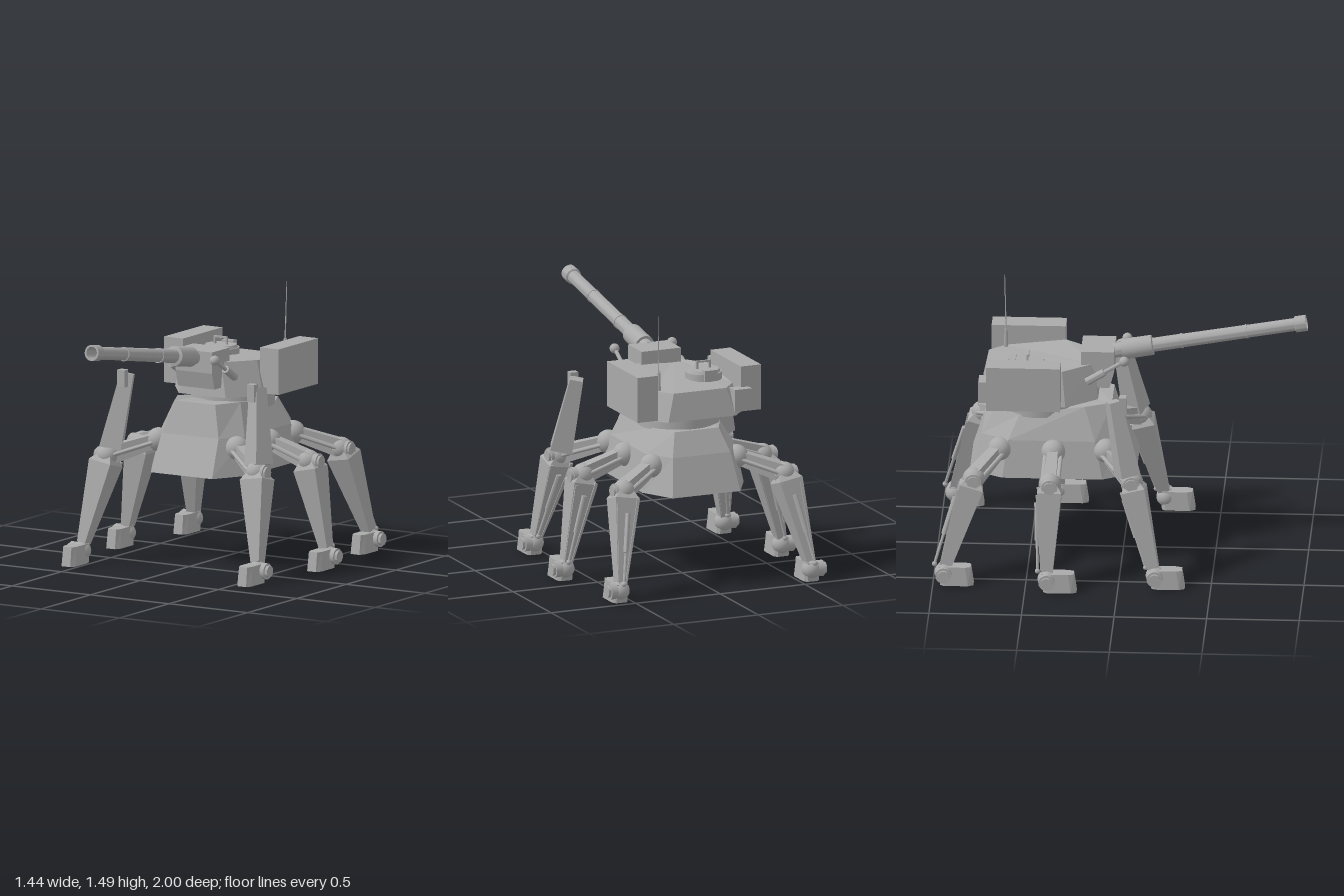
import * as THREE from 'three';
import { toCreasedNormals } from 'three/addons/utils/BufferGeometryUtils.js';

const V = (x, y, z) => new THREE.Vector3(x, y, z);
const UP = V(0, 1, 0);

// Flat-faced solid from stacked rings (counter-clockwise seen from above)
function loft(rings) {
  const pos = [];
  const tri = (...pts) => pts.forEach(p => pos.push(p.x, p.y, p.z));
  const n = rings[0].length;
  for (let i = 0; i < rings.length - 1; i++) {
    for (let j = 0; j < n; j++) {
      const k = (j + 1) % n, a = rings[i], b = rings[i + 1];
      tri(a[j], a[k], b[k]);
      tri(a[j], b[k], b[j]);
    }
  }
  const low = rings[0], top = rings[rings.length - 1];
  for (let j = 1; j < n - 1; j++) {
    tri(low[0], low[j + 1], low[j]);
    tri(top[0], top[j], top[j + 1]);
  }
  const g = new THREE.BufferGeometry();
  g.setAttribute('position', new THREE.Float32BufferAttribute(pos, 3));
  g.computeVertexNormals();
  return g;
}

// Chamfered plan outline; front and rear may have different heights
function octagon(w, hf, zf, zfc, hr, zr, zrc, yf, yr = yf) {
  return [V(-hf, yf, zf), V(hf, yf, zf), V(w, yf, zfc), V(w, yr, zrc),
    V(hr, yr, zr), V(-hr, yr, zr), V(-w, yr, zrc), V(-w, yf, zfc)];
}

const rect = (w, d, y, x = 0, z = 0) => [V(x - w / 2, y, z + d / 2), V(x + w / 2, y, z + d / 2),
  V(x + w / 2, y, z - d / 2), V(x - w / 2, y, z - d / 2)];

export function createModel() {
  const model = new THREE.Group();
  model.name = 'walkerTank';
  const metal = new THREE.MeshStandardMaterial({ color: 0xaaaaaa });
  metal.name = 'grey metal';

  const add = (parent, name, geo, p = V(0, 0, 0)) => {
    const m = new THREE.Mesh(geo, metal);
    m.name = name;
    m.position.copy(p);
    parent.add(m);
    return m;
  };
  const box = (parent, name, w, h, d, x, y, z) => add(parent, name, new THREE.BoxGeometry(w, h, d), V(x, y, z));
  const ball = (parent, name, r, p) => add(parent, name, new THREE.SphereGeometry(r, 24, 16), p);
  const rod = (parent, name, a, b, r0, r1 = r0, sides = 20) => {
    const d = b.clone().sub(a);
    const m = add(parent, name, toCreasedNormals(new THREE.CylinderGeometry(r1, r0, d.length(), sides), 0.7),
      a.clone().add(b).multiplyScalar(0.5));
    m.quaternion.setFromUnitVectors(UP, d.normalize());
    return m;
  };
  // Tapered square beam; hint sets the direction of its width
  const beam = (parent, name, a, b, s0, s1, hint) => {
    const y = b.clone().sub(a), len = y.length();
    y.normalize();
    const x = hint.clone().addScaledVector(y, -hint.dot(y)).normalize();
    const z = x.clone().cross(y);
    const m = add(parent, name, loft([rect(s0[0], s0[1], 0), rect(s1[0], s1[1], len)]), a);
    m.quaternion.setFromRotationMatrix(new THREE.Matrix4().makeBasis(x, y, z));
    return m;
  };

  // Hull and turret
  add(model, 'hull', loft([
    octagon(0.3, 0.195, 0.08, -0.1, 0.2, -0.82, -0.64, 0.51),
    octagon(0.265, 0.18, -0.01, -0.14, 0.17, -0.755, -0.61, 0.715),
    octagon(0.2, 0.13, -0.055, -0.2, 0.13, -0.69, -0.55, 0.89, 0.84)
  ]));
  rod(model, 'turretRing', V(0, 0.83, -0.45), V(0, 0.925, -0.45), 0.223, 0.223, 40);
  add(model, 'turret', loft([
    octagon(0.28, 0.15, -0.13, -0.3, 0.2, -0.765, -0.67, 0.917),
    octagon(0.23, 0.105, -0.155, -0.32, 0.155, -0.735, -0.645, 1.105, 1.068)
  ]));
  box(model, 'stowageBox', 0.1, 0.12, 0.07, -0.24, 1.0, -0.735);

  // Side launchers and forward sensor stalks
  for (const s of [-1, 1]) {
    box(model, 'sideLauncher', 0.12, 0.25, 0.4, s * 0.305, 1.05, -0.525);
    const x = s * 0.17;
    rod(model, 'stalkBase', V(x, 1.025, -0.19), V(x, 1.083, -0.095), 0.021);
    rod(model, 'stalk', V(x, 1.083, -0.095), V(x, 1.147, 0.01), 0.011);
    ball(model, 'stalkHead', 0.027, V(x, 1.147, 0.012));
  }

  // Hatch with hinge and handle
  const hatch = new THREE.Group();
  hatch.name = 'hatch';
  hatch.position.set(-0.12, 1.085, -0.51);
  model.add(hatch);
  rod(hatch, 'hatchRim', V(0, -0.02, 0), V(0, 0.03, 0), 0.1, 0.1, 36);
  rod(hatch, 'hatchLid', V(0, 0.03, 0), V(0, 0.045, 0), 0.092, 0.085, 36);
  box(hatch, 'hatchHinge', 0.075, 0.06, 0.04, 0, 0.025, -0.085);
  box(hatch, 'hatchHandle', 0.085, 0.01, 0.012, 0, 0.083, 0);
  for (const s of [-1, 1]) box(hatch, 'handlePost', 0.01, 0.04, 0.012, s * 0.037, 0.062, 0);

  // Antenna
  rod(model, 'antennaBase', V(0.203, 1.06, -0.645), V(0.205, 1.17, -0.645), 0.011, 0.009, 10);
  rod(model, 'antenna', V(0.205, 1.17, -0.645), V(0.211, 1.485, -0.652), 0.004, 0.002, 8);

  // Gun mount and raised barrel with a bored muzzle
  add(model, 'gunMount', loft([rect(0.232, 0.15, 0.97, 0, -0.145), rect(0.232, 0.18, 1.06, 0, -0.135),
    rect(0.232, 0.18, 1.177, 0, -0.135)]));
  const profile = [[0, 0], [0.04, 0], [0.04, 0.05], [0.055, 0.05], [0.055, 0.215], [0.038, 0.22],
    [0.038, 0.37], [0.041, 0.37], [0.041, 0.38], [0.037, 0.38], [0.036, 0.725], [0.039, 0.725],
    [0.039, 0.735], [0.035, 0.735], [0.035, 0.995], [0.044, 1.0], [0.044, 1.06], [0.033, 1.06],
    [0.03, 0.95], [0, 0.95]].map(p => new THREE.Vector2(p[0], p[1]));
  const gun = add(model, 'gunBarrel', toCreasedNormals(new THREE.LatheGeometry(profile, 32), 0.6), V(0, 1.141, -0.055));
  gun.quaternion.setFromUnitVectors(UP, V(0, 0.176, 1).normalize());

  // Legs: shoulder, knee and ankle for one side, then mirrored
  const legs = [
    ['front', [0.25, 0.66, -0.085], [0.475, 0.575, 0.07], [0.56, 0.065, 0.2]],
    ['middle', [0.28, 0.66, -0.365], [0.53, 0.575, -0.37], [0.64, 0.065, -0.38]],
    ['rear', [0.25, 0.66, -0.655], [0.475, 0.575, -0.785], [0.565, 0.065, -0.94]]
  ];
  for (const s of [-1, 1]) for (const [label, a, b, c] of legs) {
    const leg = new THREE.Group();
    leg.name = label + (s > 0 ? 'LeftLeg' : 'RightLeg');
    model.add(leg);
    const [hip, knee, ankle] = [a, b, c].map(p => V(p[0] * s, p[1], p[2]));
    const side = V(s, 0, 0);
    const out = knee.clone().sub(hip).setY(0).normalize();
    const across = UP.clone().cross(out);

    // Upper leg with twin pistons
    ball(leg, 'shoulderJoint', 0.065, hip);
    beam(leg, 'upperLeg', hip, knee, [0.055, 0.075], [0.07, 0.1], across);
    for (const k of [-1, 1]) {
      const off = across.clone().multiplyScalar(k * 0.042);
      rod(leg, 'upperPiston', hip.clone().add(off), knee.clone().add(off), 0.012, 0.012, 10);
    }

    // Knee and its hub
    ball(leg, 'kneeJoint', 0.06, knee);
    const hub = label === 'middle' ? 0.08 : 0.07;
    rod(leg, 'kneeHub', knee, knee.clone().addScaledVector(side, hub - 0.012), 0.044);
    rod(leg, 'kneeCap', knee, knee.clone().addScaledVector(side, hub), 0.034);

    // Tapered shin with raised edge rails and a rear piston
    const top = knee.clone().lerp(ankle, 0.08), low = knee.clone().lerp(ankle, 0.92);
    beam(leg, 'shinCollar', knee, top, [0.08, 0.08], [0.14, 0.13], side);
    beam(leg, 'shin', top, low, [0.14, 0.13], [0.052, 0.06], side);
    for (const k of [-1, 1]) {
      beam(leg, 'shinRail', top.clone().add(V(k * 0.058, 0, -0.066)), low.clone().add(V(k * 0.02, 0, -0.03)),
        [0.016, 0.014], [0.01, 0.012], side);
    }
    const p0 = knee.clone().lerp(ankle, 0.2).add(V(0, 0, -0.068));
    const p1 = ankle.clone().add(V(0, 0.045, -0.052));
    const mid = p0.clone().lerp(p1, 0.55);
    rod(leg, 'shinPistonSleeve', p0, mid, 0.014, 0.014, 12);
    rod(leg, 'shinPistonRod', mid, p1, 0.008, 0.008, 10);
    ball(leg, 'pistonEnd', 0.014, p1);

    // Ankle, hub and foot
    ball(leg, 'ankleJoint', 0.052, ankle);
    rod(leg, 'ankleHub', ankle, ankle.clone().addScaledVector(side, 0.065), 0.044);
    rod(leg, 'ankleCap', ankle, ankle.clone().addScaledVector(side, 0.08), 0.032);
    const foot = [[0.045, 0.028, 0.16, 0.13, 0.03, -0.02, 0], [0.038, 0.026, 0.145, 0.115, 0.03, -0.03, 0.105]]
      .map(([w, hf, zf, zfc, hr, zr, y]) => octagon(w, hf, zf, zfc, hr, zr, zr + 0.02, y));
    add(leg, 'foot', loft(foot), V(ankle.x, 0, ankle.z));

    // Tall shield on the front knees
    if (label === 'front') {
      beam(leg, 'legShield', V(s * 0.47, 0.61, 0.045), V(s * 0.415, 1.015, -0.035), [0.12, 0.11], [0.072, 0.065],
        V(s * 0.85, 0, 0.4));
      box(leg, 'shieldLamp', 0.045, 0.095, 0.04, s * 0.413, 0.995, 0.018);
    }
  }
  return model;
}
